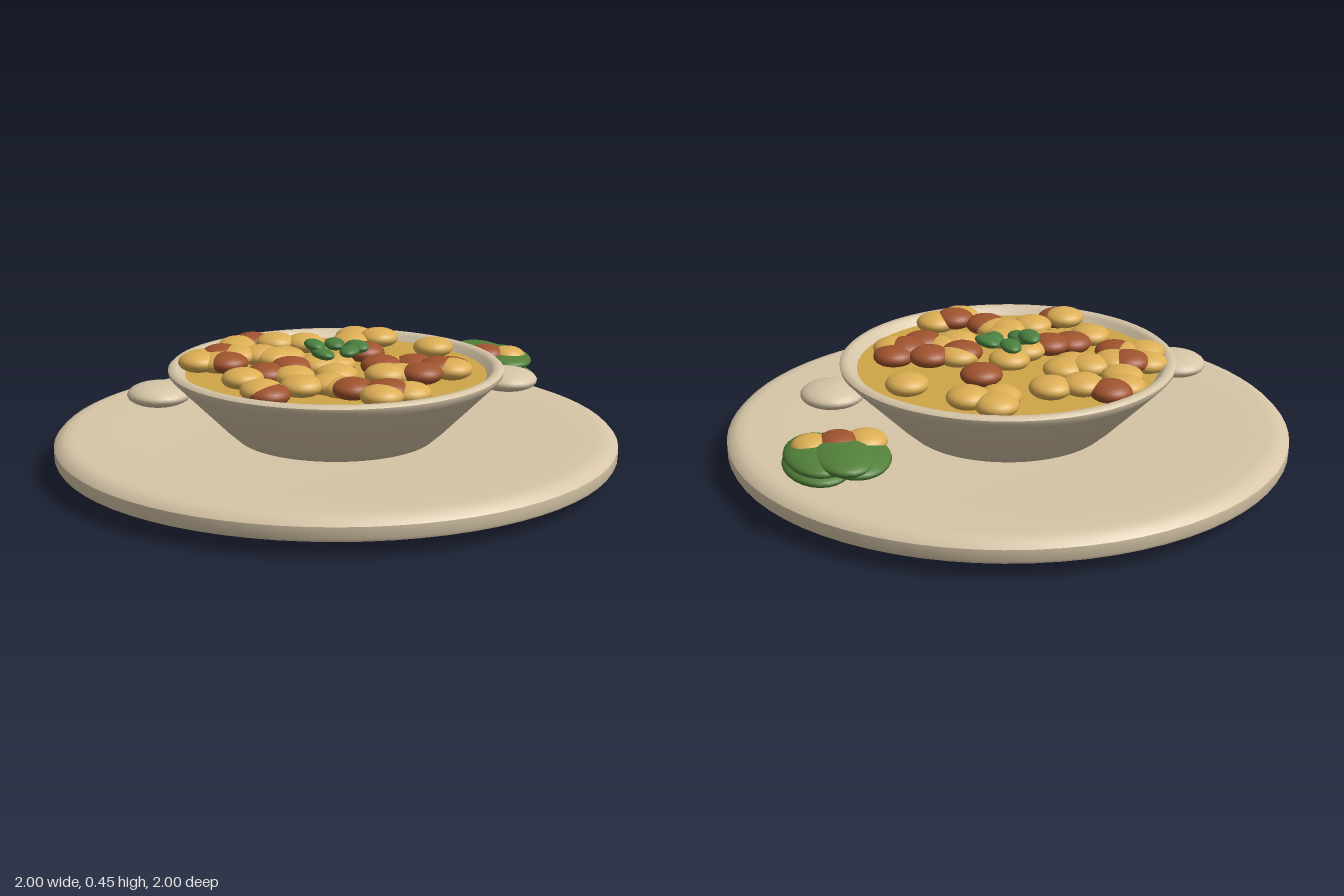
import * as THREE from 'three';
import { toCreasedNormals } from 'three/addons/utils/BufferGeometryUtils.js';

const mat = (name, color) => new THREE.MeshStandardMaterial({ name, color });

export function createModel() {
  const model = new THREE.Group();
  model.name = 'stewBowlOnPlate';
  const stoneware = mat('stoneware', 0xd6c5a7);
  const broth = mat('broth', 0xcfa548);
  const chickpea = mat('chickpea', 0xdcae54);
  const chorizo = mat('chorizo', 0x9f532d);
  const leaf = mat('leaf', 0x52803a);
  const herb = mat('herb', 0x4a8040);

  const add = (parent, name, geometry, material) => {
    const mesh = new THREE.Mesh(geometry, material);
    mesh.name = name;
    parent.add(mesh);
    return mesh;
  };
  const group = (name) => {
    const g = new THREE.Group();
    g.name = name;
    model.add(g);
    return g;
  };
  const lathe = (points, crease) => toCreasedNormals(
    new THREE.LatheGeometry(points.map(([r, y]) => new THREE.Vector2(r, y)), 72), crease);
  const ball = new THREE.SphereGeometry(1, 24, 16);
  const blob = (parent, name, material, [x, y, z], [rx, ry, rz], turn = 0, tilt = 0) => {
    const mesh = add(parent, name, ball, material);
    mesh.position.set(x, y, z);
    mesh.scale.set(rx, ry, rz);
    mesh.rotation.set(0, turn, tilt);
  };

  // Plate: shallow dish with a rounded rim and a small foot
  add(model, 'plate', lathe([
    [0, 0.016], [0.69, 0.016], [0.995, 0.06], [1, 0.07], [1, 0.108], [0.985, 0.124],
    [0.96, 0.134], [0.93, 0.136], [0.7, 0.118], [0.4, 0.108], [0, 0.105],
  ], 0.7), stoneware);
  const foot = add(model, 'plateFoot', new THREE.CylinderGeometry(0.27, 0.27, 0.014, 48), stoneware);
  foot.position.y = 0.011;

  // Bowl: flared wall, rolled lip and hollow inside
  add(model, 'bowl', lathe([
    [0, 0.1], [0.35, 0.1], [0.4, 0.145], [0.575, 0.322], [0.593, 0.342], [0.595, 0.355],
    [0.585, 0.364], [0.565, 0.364], [0.552, 0.355], [0.525, 0.318], [0.35, 0.16], [0, 0.15],
  ], 0.8), stoneware);
  for (const side of [-1, 1]) {
    blob(model, side > 0 ? 'leftHandle' : 'rightHandle', stoneware,
      [side * 0.628, 0.28, 0], [0.112, 0.04, 0.123]);
  }

  // Broth surface
  const surface = add(model, 'broth', new THREE.CylinderGeometry(0.535, 0.52, 0.02, 64), broth);
  surface.position.y = 0.325;

  // Chickpeas and sausage pieces floating in the broth, as x and z
  const pieces = group('stewPieces');
  const chickpeas = [
    [-0.31, -0.37], [-0.17, -0.35], [-0.06, -0.34], [0.15, -0.44], [0.12, -0.36], [0.23, -0.37],
    [0.4, -0.19], [-0.33, -0.29], [-0.46, -0.17], [-0.34, -0.16], [-0.25, -0.17], [-0.2, -0.13],
    [-0.16, -0.16], [-0.48, -0.09], [-0.41, -0.08], [-0.35, 0.15], [-0.17, 0.13], [-0.03, 0.18],
    [-0.17, 0.3], [-0.07, 0.28], [-0.03, 0.32], [-0.31, 0.35], [0.14, 0.19], [0.17, 0.05],
    [0.2, 0.17], [0.38, 0.17], [0.07, 0.47], [0.17, 0.435], [0, -0.02], [-0.07, 0.03],
  ];
  const sausages = [
    [-0.25, -0.41], [-0.39, -0.18], [-0.38, -0.06], [0.135, -0.16], [-0.26, 0.09], [-0.17, 0.06],
    [0.15, 0.07], [0.27, 0.065], [0.39, 0.11], [0.34, 0.15], [0.265, 0.21], [-0.005, 0.36],
    [-0.29, 0.375], [0.1, 0.43],
  ];
  chickpeas.forEach(([x, z], i) => blob(pieces, 'chickpea', chickpea,
    [x, 0.355 + 0.004 * ((i * 3) % 4), z], [0.074, 0.037, 0.074]));
  sausages.forEach(([x, z], i) => blob(pieces, 'sausagePiece', chorizo,
    [x, 0.358 + 0.004 * ((i * 3) % 4), z], [0.074, 0.037, 0.074]));

  // Herb sprig in the middle
  const sprig = group('herbSprig');
  const herbs = [[-0.075, 0.43, -0.01, 0.1], [0.005, 0.42, -0.06, 0], [-0.055, 0.41, 0.045, 0.3],
    [0.042, 0.415, 0.04, -0.3], [0.075, 0.422, 0, 0.35]];
  herbs.forEach(([x, y, z, turn]) => blob(sprig, 'herbLeaf', herb,
    [x, y, z], [0.036, 0.02, 0.06], turn, x * 2));

  // Garnish of stacked leaves with a few pieces on the plate rim
  const garnish = group('garnish');
  const leaves = [
    [0.74, 0.195, -0.4, 0.11, 0.033, 0.17, 0.1], [0.61, 0.215, -0.4, 0.1, 0.033, 0.15, 0.15],
    [0.62, 0.245, -0.49, 0.11, 0.035, 0.16, -0.1], [0.74, 0.25, -0.45, 0.11, 0.035, 0.17, 0.05],
    [0.67, 0.262, -0.5, 0.1, 0.035, 0.16, 0.1], [0.68, 0.23, -0.38, 0.1, 0.033, 0.14, 0],
  ];
  leaves.forEach(([x, y, z, rx, ry, rz, turn]) => blob(garnish, 'garnishLeaf', leaf,
    [x, y, z], [rx, ry, rz], turn));
  blob(garnish, 'garnishChickpea', chickpea, [0.58, 0.265, -0.41], [0.072, 0.037, 0.072]);
  blob(garnish, 'garnishChickpea', chickpea, [0.755, 0.265, -0.41], [0.068, 0.037, 0.068]);
  blob(garnish, 'garnishSausage', chorizo, [0.67, 0.273, -0.42], [0.068, 0.037, 0.072]);

  return model;
}
